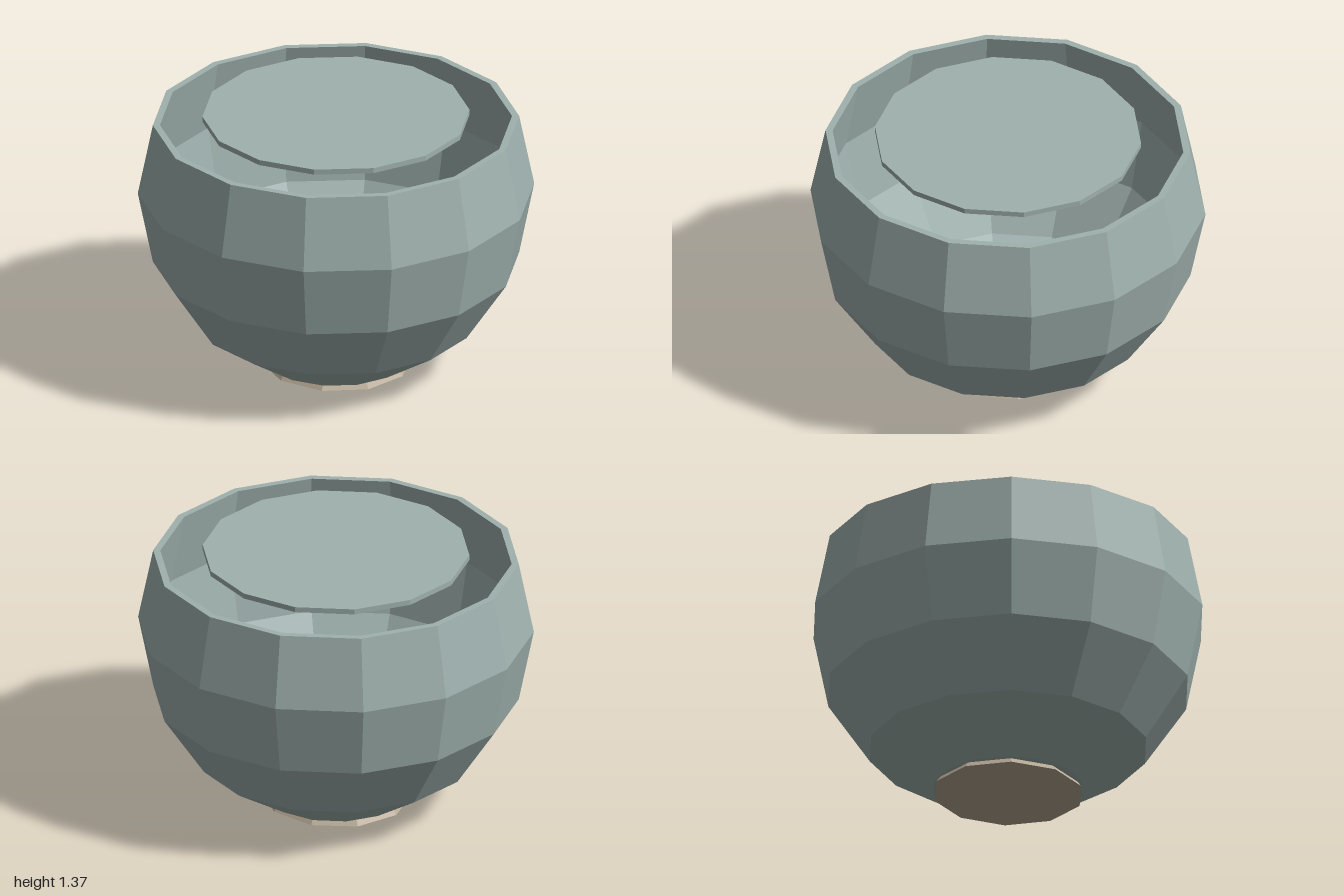
import * as THREE from 'three';

const glaze = new THREE.MeshStandardMaterial({ color: 0x9fb1ae });
glaze.name = 'greyGreenGlaze';
const clay = new THREE.MeshStandardMaterial({ color: 0xb9aa95 });
clay.name = 'beigeClay';

// Faceted mesh with one normal per face
function facet(name, geometry, material) {
  const g = geometry.index ? geometry.toNonIndexed() : geometry;
  g.computeVertexNormals();
  const mesh = new THREE.Mesh(g, material);
  mesh.name = name;
  return mesh;
}

export function createModel() {
  const model = new THREE.Group();
  model.name = 'bowl';
  const sides = 14;

  // Thick-walled bowl: up the outside, over the rim, down the inside
  const profile = [
    [0, 0.03], [0.38, 0.03], [0.71, 0.245], [0.924, 0.57], [1, 0.953], [0.924, 1.33],
    [0.888, 1.33], [0.96, 0.953], [0.888, 0.585], [0.68, 0.27], [0.365, 0.07], [0, 0.07],
  ].map(([r, y]) => new THREE.Vector2(r, y));
  model.add(facet('bowlShell', new THREE.LatheGeometry(profile, sides), glaze));

  // Thin lid disc hovering just above the rim
  const lid = facet('lidDisc', new THREE.CylinderGeometry(0.674, 0.674, 0.028, sides), glaze);
  lid.position.y = 1.357;
  model.add(lid);

  // Flared foot under the bowl
  const foot = facet('foot', new THREE.CylinderGeometry(0.355, 0.38, 0.032, 10).rotateY(Math.PI / 10), clay);
  foot.scale.set(0.985, 1, 1.03);
  foot.position.y = 0.016;
  model.add(foot);

  // Rough chunk leaning against the inside wall
  const chunk = facet('innerChunk', new THREE.CylinderGeometry(0.18, 0.25, 0.46, 6), clay);
  chunk.position.set(0.36, 0.57, 0.35);
  chunk.rotation.set(-0.25, 0.4, 0.25);
  model.add(chunk);

  return model;
}
